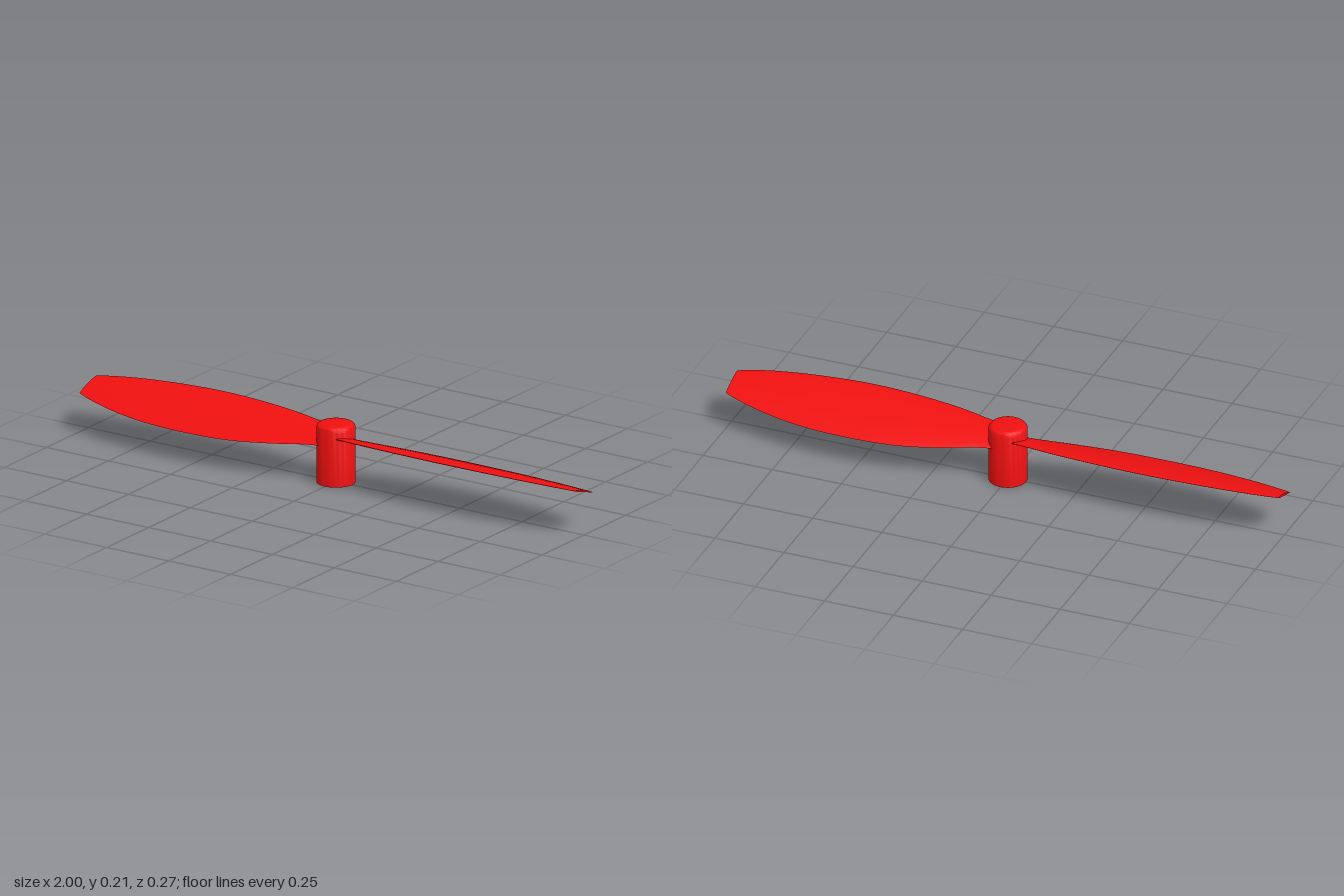
import * as THREE from 'three';
import { toCreasedNormals } from 'three/addons/utils/BufferGeometryUtils.js';

// Airfoil blade along +x, lofted from pitched cross-sections
function bladeGeometry() {
  // Each point: span position, front edge z, rear edge z
  const outline = new THREE.CatmullRomCurve3([
    [0, 0.05, -0.052], [0.08, 0.062, -0.064], [0.2, 0.085, -0.096], [0.35, 0.102, -0.125],
    [0.52, 0.11, -0.134], [0.7, 0.102, -0.126], [0.85, 0.085, -0.1], [0.96, 0.063, -0.068], [1, 0.05, -0.052],
  ].map(p => new THREE.Vector3(...p)));
  const spans = 40, half = 12, ring = half * 2;
  const pos = [], idx = [];
  for (let i = 0; i <= spans; i++) {
    const s = outline.getPoint(i / spans);
    const chord = s.y - s.z;
    for (let j = 0; j < ring; j++) {
      const top = j <= half;
      const a = (top ? j : ring - j) / half;
      const t = (1 - Math.cos(Math.PI * a)) / 2;        // 0 = front edge, 1 = rear edge
      const z = s.y - chord * t;
      const camber = 0.09 * chord * t * (1 - t);
      const thick = 0.055 * chord * Math.sqrt(t) * (1 - t) + 0.008 * Math.sqrt(t * (1 - t)) * (1 - s.x * 0.6);
      pos.push(s.x, 0.153 + 0.315 * z + camber + (top ? thick : -thick), z);
    }
  }
  for (let i = 0; i < spans; i++) {
    for (let j = 0; j < ring; j++) {
      const a = i * ring + j, b = i * ring + (j + 1) % ring;
      idx.push(a, a + ring, b, b, a + ring, b + ring);
    }
  }
  // Root and tip caps
  const tip = spans * ring;
  for (let j = 1; j < ring - 1; j++) idx.push(0, j, j + 1, tip, tip + j + 1, tip + j);
  const g = new THREE.BufferGeometry();
  g.setAttribute('position', new THREE.Float32BufferAttribute(pos, 3));
  g.setIndex(idx);
  return toCreasedNormals(g, 0.7);
}

// Hub: outer shell, rounded top, ring groove and shaft bore underneath
function hubGeometry() {
  const profile = [[0, 0.1], [0.014, 0.1], [0.014, 0.004], [0.03, 0.004], [0.03, 0.05], [0.048, 0.05], [0.048, 0], [0.066, 0]];
  for (let k = 0; k <= 6; k++) {
    const a = k / 6 * Math.PI / 2;
    profile.push([0.05 + 0.016 * Math.cos(a), 0.191 + 0.016 * Math.sin(a)]);
  }
  profile.push([0, 0.207]);
  const g = new THREE.LatheGeometry(profile.map(p => new THREE.Vector2(...p)), 48);
  return toCreasedNormals(g, 0.6);
}

export function createModel() {
  const group = new THREE.Group();
  group.name = 'propeller';
  const red = new THREE.MeshStandardMaterial({ color: 0xf01010 });

  const hub = new THREE.Mesh(hubGeometry(), red);
  hub.name = 'hub';
  group.add(hub);

  // Two blades, half a turn apart
  const geo = bladeGeometry();
  ['leftBlade', 'rightBlade'].forEach((name, i) => {
    const blade = new THREE.Mesh(geo, red);
    blade.name = name;
    blade.rotation.y = i * Math.PI;
    group.add(blade);
  });
  return group;
}
